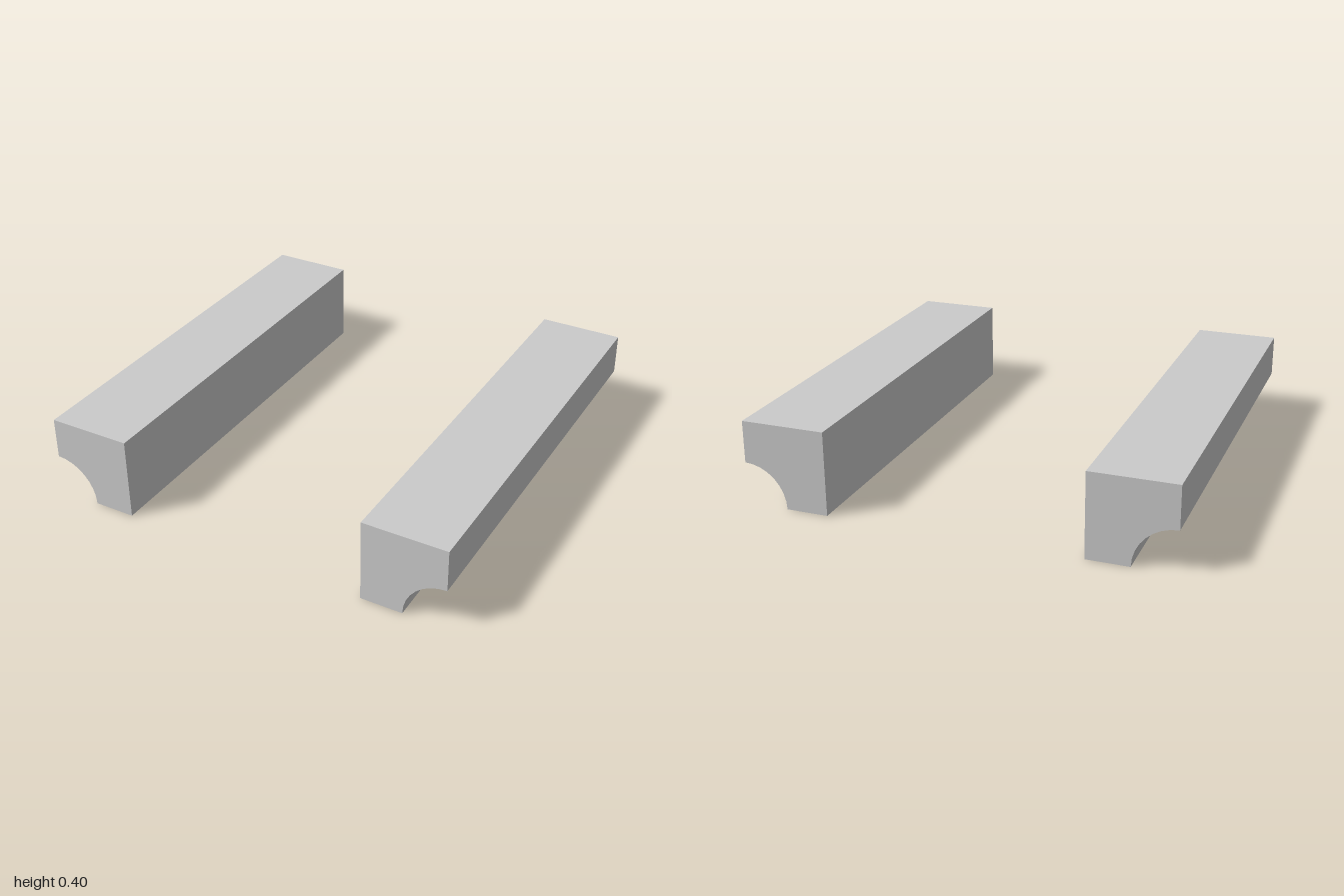
import * as THREE from 'three';

export function createModel() {
  const group = new THREE.Group();
  const material = new THREE.MeshStandardMaterial({ color: 0xcccccc, flatShading: true });

  // Rail cross-section: a square with a quarter-round cove cut from its lower outer corner
  const profile = new THREE.Shape();
  profile.moveTo(0.6, 0);
  profile.lineTo(0.8, 0);
  profile.absarc(1, 0, 0.2, Math.PI, Math.PI / 2, true);
  profile.lineTo(1, 0.4);
  profile.lineTo(0.6, 0.4);
  profile.closePath();

  // curveSegments 4 gives the cove eight facets
  const geometry = new THREE.ExtrudeGeometry(profile, { depth: 2, curveSegments: 4, bevelEnabled: false });
  geometry.translate(0, 0, -1);

  // Two rails facing outwards, the right one turned half round
  for (const [name, turn] of [['leftRail', 0], ['rightRail', Math.PI]]) {
    const rail = new THREE.Mesh(geometry, material);
    rail.name = name;
    rail.rotation.y = turn;
    group.add(rail);
  }
  return group;
}
